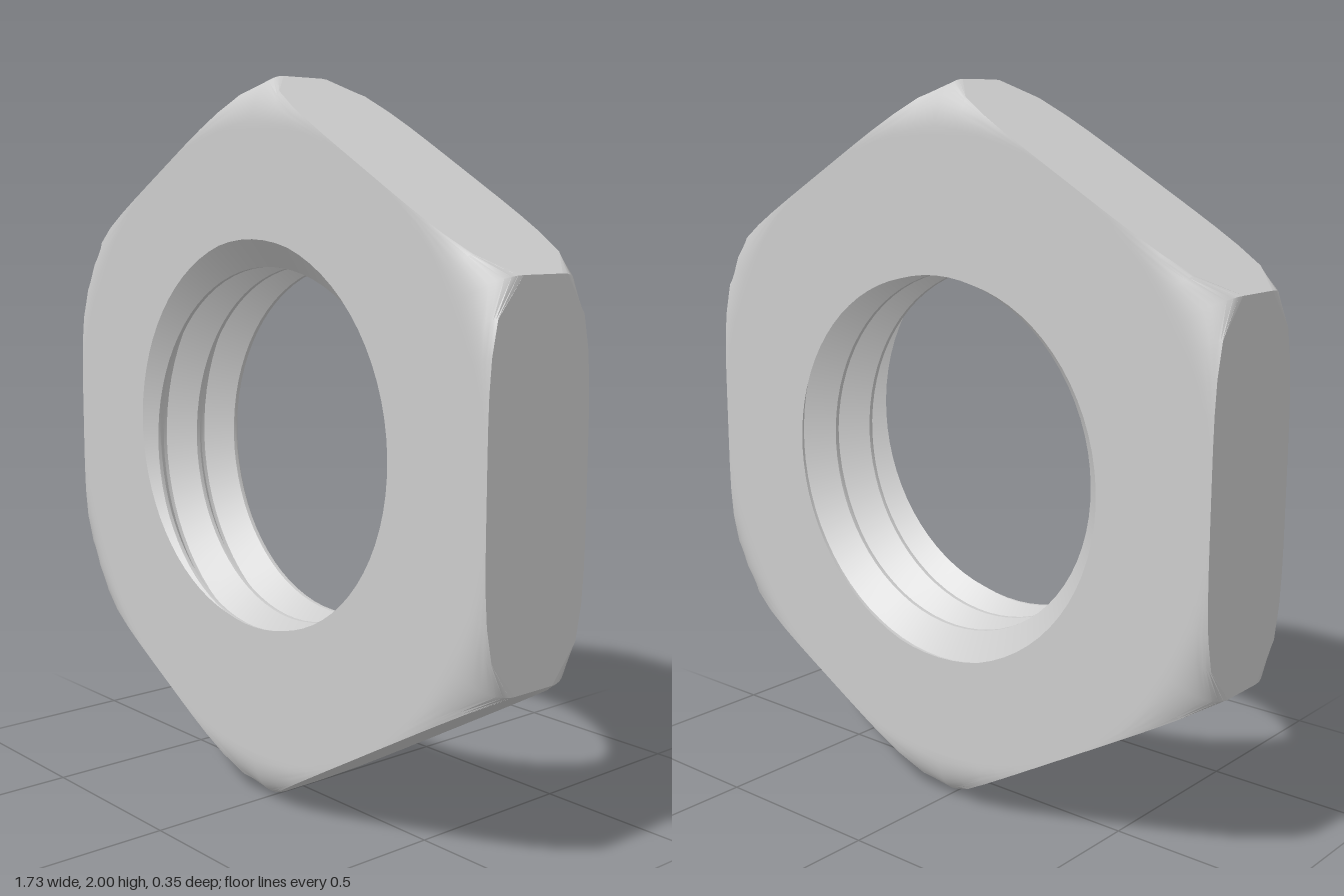
import * as THREE from 'three';
import { toCreasedNormals } from 'three/addons/utils/BufferGeometryUtils.js';

const SEG = 72;              // steps around the nut, 12 per flat
const HALF = 0.177;          // half thickness
const APOTHEM = Math.sqrt(3) / 2;
const TURNS = 2.5;           // thread turns through the hole
const ROWS = TURNS * SEG;    // one row per angular step keeps crests on mesh edges
const TAU = Math.PI * 2;

// Angle of a step, starting at the top corner
const angle = (i) => Math.PI / 2 + (i / SEG) * TAU;

// Distance from the axis to the hexagon outline
function hexRadius(i) {
  const a = ((i % 12) / 12 - 0.5) * (Math.PI / 3);
  return APOTHEM / Math.cos(a);
}

// Half thickness at a radius: flat, then rounded off towards the corners
function halfThickness(r) {
  const t = Math.min(1, Math.max(0, (r - 0.87) / 0.13));
  return 0.067 + (HALF - 0.067) * Math.sqrt(1 - t * t);
}

// Right-handed V thread with narrow flats on crest and root
function threadRadius(i, z) {
  const phase = ((z - HALF) / (2 * HALF)) * TURNS - i / SEG;
  const wave = Math.abs(2 * (phase - Math.floor(phase)) - 1);
  return 0.495 + 0.075 * THREE.MathUtils.clamp((wave - 0.08) / 0.84, 0, 1);
}

// Grid surface: point(u, v) for u in 0..nu, v in 0..nv
function grid(nu, nv, point, flip = false) {
  const pos = [], index = [];
  for (let v = 0; v <= nv; v++) {
    for (let u = 0; u <= nu; u++) pos.push(...point(u, v));
  }
  for (let v = 0; v < nv; v++) {
    for (let u = 0; u < nu; u++) {
      const a = v * (nu + 1) + u, b = a + 1, d = a + nu + 1, c = d + 1;
      if (flip) index.push(a, c, b, a, d, c);
      else index.push(a, b, c, a, c, d);
    }
  }
  const g = new THREE.BufferGeometry();
  g.setAttribute('position', new THREE.Float32BufferAttribute(pos, 3));
  g.setIndex(index);
  g.computeVertexNormals();
  return g;
}

const polar = (i, r, z) => [r * Math.cos(angle(i)), r * Math.sin(angle(i)), z];

export function createModel() {
  const model = new THREE.Group();
  model.name = 'hexNut';
  const body = new THREE.Group();
  body.name = 'nutBody';
  body.position.y = 1;
  model.add(body);
  const material = new THREE.MeshStandardMaterial({ color: 0xcccccc });
  const add = (name, geometry) => {
    const mesh = new THREE.Mesh(geometry, material);
    mesh.name = name;
    body.add(mesh);
  };

  for (const side of [1, -1]) {
    const label = side > 0 ? 'front' : 'back';
    // Flat annular face around the hole
    add(label + 'Face', grid(SEG, 1, (i, v) =>
      polar(i, v ? 0.86 : threadRadius(i, side * HALF), side * HALF), side > 0));
    // Rounded corner chamfers
    add(label + 'Chamfer', toCreasedNormals(grid(SEG, 10, (i, v) => {
      const r = 0.86 + (hexRadius(i) - 0.86) * Math.sin((v / 10) * Math.PI / 2);
      return polar(i, r, side * halfThickness(r));
    }, side > 0), 0.6));
  }

  // Six side flats with arched edges
  for (let k = 0; k < 6; k++) {
    add('sideFlat' + (k + 1), grid(12, 1, (u, v) => {
      const i = k * 12 + u, r = hexRadius(i);
      return polar(i, r, (v ? 1 : -1) * halfThickness(r));
    }));
  }

  // Threaded hole
  add('thread', toCreasedNormals(grid(SEG, ROWS, (i, v) => {
    const z = -HALF + (v / ROWS) * 2 * HALF;
    return polar(i, threadRadius(i, z), z);
  }, true), 0.5));

  return model;
}
